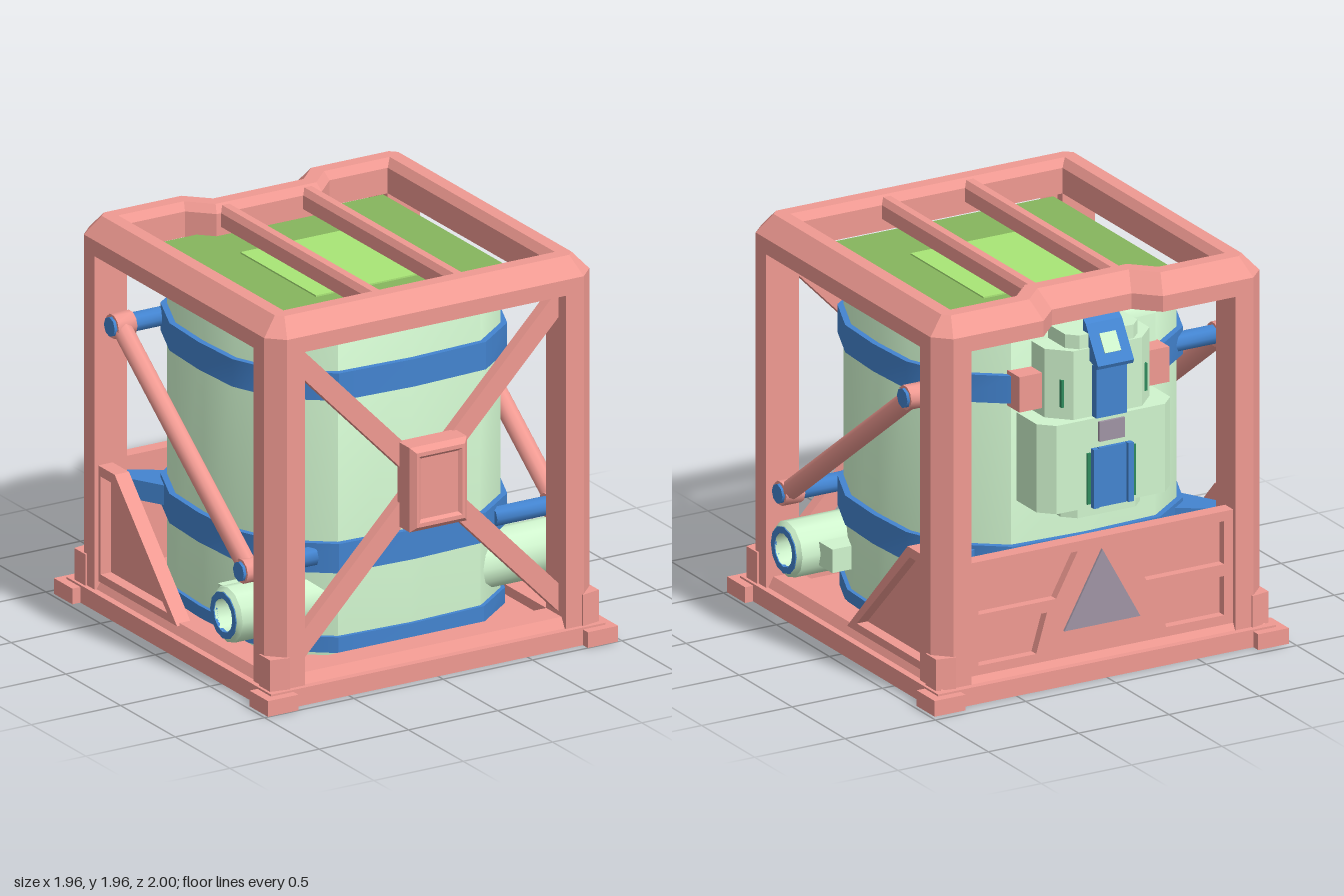
import * as THREE from 'three';
import { toCreasedNormals } from 'three/addons/utils/BufferGeometryUtils.js';

const PINK = 0xf09a92, GREEN = 0xd0f5ce, BLUE = 0x4384d0, PANEL = 0x86b55d, LIME = 0xa9e676, GREY = 0xa094a4, DARK = 0x2f8a5c;
const mats = {};
function material(color, smooth) {
  const key = color + (smooth ? 's' : 'f');
  return mats[key] ??= new THREE.MeshStandardMaterial({ color, flatShading: !smooth, side: THREE.DoubleSide });
}
function add(parent, name, geo, color, pos = [0, 0, 0], smooth = false) {
  const m = new THREE.Mesh(geo, material(color, smooth));
  m.name = name;
  m.position.set(...pos);
  parent.add(m);
  return m;
}
const box = (parent, name, color, size, pos) => add(parent, name, new THREE.BoxGeometry(...size), color, pos);
const shape = (pts) => new THREE.Shape(pts.map((p) => new THREE.Vector2(...p)));
function extrude(pts, depth, holes = [], bevel = 0) {
  const s = shape(pts);
  s.holes = holes.map(shape);
  return new THREE.ExtrudeGeometry(s, { depth, bevelEnabled: bevel > 0, bevelSize: bevel, bevelThickness: bevel, bevelSegments: 1 });
}
// plan outline (x, z) raised from y0 to y1
const slab = (pts, y0, y1) => extrude(pts.map(([x, z]) => [x, -z]), y1 - y0).rotateX(-Math.PI / 2).translate(0, y0, 0);
// outline given as (-z, y), thickened along +x
const sidePlate = (pts, depth, holes) => extrude(pts, depth, holes).rotateY(Math.PI / 2);
// 12-sided turned part lying along +x
const turned = (pts) => toCreasedNormals(
  new THREE.LatheGeometry(pts.map((p) => new THREE.Vector2(...p)), 12).rotateZ(-Math.PI / 2), 0.6);
// any unit-Y geometry stretched between two points
function between(parent, name, geo, color, a, b, smooth) {
  const A = new THREE.Vector3(...a), d = new THREE.Vector3(...b).sub(A);
  const m = add(parent, name, geo.scale(1, d.length(), 1), color, A.clone().addScaledVector(d, 0.5).toArray(), smooth);
  m.quaternion.setFromUnitVectors(new THREE.Vector3(0, 1, 0), d.normalize());
}
const rod = (r, n = 10) => toCreasedNormals(new THREE.CylinderGeometry(r, r, 1, n), 0.8);
// closed mitred ring: profile (inset, y) carried along an (x, z) path
function ring(path, profile) {
  const n = path.length, k = profile.length, pos = [], idx = [];
  const normal = (i) => {
    const [x0, z0] = path[(i + n) % n], [x1, z1] = path[(i + 1) % n], l = Math.hypot(x1 - x0, z1 - z0);
    return [(z1 - z0) / l, -(x1 - x0) / l];
  };
  path.forEach(([x, z], i) => {
    const a = normal(i - 1), b = normal(i), s = 1 / (1 + a[0] * b[0] + a[1] * b[1]);
    for (const [d, y] of profile) pos.push(x + (a[0] + b[0]) * s * d, y, z + (a[1] + b[1]) * s * d);
    for (let j = 0; j < k; j++) {
      const p = i * k + j, q = ((i + 1) % n) * k + j, r = ((i + 1) % n) * k + (j + 1) % k, t = i * k + (j + 1) % k;
      idx.push(p, q, r, p, r, t);
    }
  });
  const g = new THREE.BufferGeometry();
  g.setAttribute('position', new THREE.Float32BufferAttribute(pos, 3));
  g.setIndex(idx);
  g.computeVertexNormals();
  return g;
}
function mirrored(parent, half) {
  const other = half.clone();
  other.scale.x = -1;
  parent.add(half, other);
}
function group(name) {
  const g = new THREE.Group();
  g.name = name;
  return g;
}

function buildFrame(root) {
  const f = group('frame');
  root.add(f);
  // top ring with cut corners, stepped inward at the back
  add(f, 'topRing', ring(
    [[0.83, 0.93], [0.91, 0.85], [0.91, -0.8], [0.83, -0.88], [0.33, -0.88], [0.22, -0.77],
      [-0.22, -0.77], [-0.33, -0.88], [-0.83, -0.88], [-0.91, -0.8], [-0.91, 0.85], [-0.83, 0.93]],
    [[0, 1.79], [0, 1.87], [0.08, 1.96], [0.15, 1.96], [0.18, 1.92], [0.18, 1.79]]), PINK);
  add(f, 'bottomRing', ring([[0.91, 0.93], [0.91, -0.89], [-0.91, -0.89], [-0.91, 0.93]],
    [[0, 0.07], [0.04, 0.14], [0.18, 0.14], [0.18, 0.07]]), PINK);
  box(f, 'basePlate', PINK, [1.87, 0.09, 1.87], [0, 0.045, 0.02]);
  // roof bars
  for (const x of [-0.23, 0.23])
    add(f, 'roofBar', extrude([[-0.04, 1.85], [0.04, 1.85], [0.04, 1.92], [0.02, 1.95], [-0.02, 1.95], [-0.04, 1.92]], 1.46), PINK, [x, 0, -0.68]);
  // crossed front braces and centre plate
  for (const s of [-1, 1])
    between(f, 'frontBrace', new THREE.BoxGeometry(0.1, 1, 0.06), PINK, [-0.77 * s, 0.19, 0.83], [0.77 * s, 1.77, 0.83]);
  const rect = (w, h) => [[-w, -h], [w, -h], [w, h], [-w, h]];
  add(f, 'frontPlateRim', extrude(rect(0.135, 0.19), 0.11, [rect(0.12, 0.17)], 0.025), PINK, [0, 0.98, 0.845]);
  box(f, 'frontPlate', PINK, [0.26, 0.36, 0.14], [0, 0.98, 0.895]);
  // back panel with four recesses and a triangular plate
  box(f, 'backPanel', PINK, [1.5, 0.59, 0.03], [0, 0.405, -0.8]);
  const recesses = [];
  for (const s of [-1, 1]) {
    recesses.push([[0.68 * s, 0.65], [0.13 * s, 0.65], [0.25 * s, 0.43], [0.68 * s, 0.43]]);
    recesses.push([[0.68 * s, 0.37], [0.3 * s, 0.37], [0.36 * s, 0.17], [0.68 * s, 0.17]]);
  }
  add(f, 'backPanelRibs', extrude([[-0.75, 0.11], [0.75, 0.11], [0.75, 0.7], [-0.75, 0.7]], 0.05, recesses), PINK, [0, 0, -0.86]);
  add(f, 'backTriangle', extrude([[-0.21, 0.26], [0.21, 0.26], [0, 0.64]], 0.015), GREY, [0, 0, -0.872]);

  const side = group('frameSide');
  for (const [zo, s, foot] of [[0.93, 1, 1.0], [-0.88, -1, -0.96]]) {
    const at = (d) => zo - s * d;
    // corner post with bevelled outer edge
    add(side, 'post', slab([[0.73, at(0.18)], [0.91, at(0.18)], [0.91, at(0.08)], [0.83, at(0)], [0.73, at(0)]], 0.08, 1.84), PINK);
    // foot and the block above it
    add(side, 'foot', slab([[0.81, foot - s * 0.17], [0.98, foot - s * 0.17], [0.98, foot], [0.81, foot]], 0, 0.08), PINK);
    add(side, 'footBlock', slab([[0.82, at(0.11)], [0.92, at(0.11)], [0.92, at(0.01)], [0.82, at(-0.01)]], 0.06, 0.25), PINK);
  }
  // triangular side panel at the back
  const tri = [[-0.02, 0.13], [0.55, 0.72], [0.72, 0.72], [0.72, 0.13]];
  add(side, 'sidePanelRim', sidePlate(tri, 0.08, [[[0.07, 0.17], [0.57, 0.67], [0.68, 0.67], [0.68, 0.17]]]), PINK, [0.81, 0, 0]);
  add(side, 'sidePanel', sidePlate(tri, 0.02), PINK, [0.81, 0, 0]);
  // diagonal strut with pinned ends
  const ends = [[0.61, 0.63], [1.48, -0.55]];
  between(side, 'strut', rod(0.05), PINK, [0.86, ...ends[0]], [0.86, ...ends[1]], true);
  for (const [y, z] of ends) {
    between(side, 'strutCollar', rod(0.062), PINK, [0.8, y, z], [0.905, y, z], true);
    between(side, 'strutPin', rod(0.05, 8), BLUE, [0.5, y, z], [0.92, y, z], true);
  }
  mirrored(f, side);
}

// rounded-square outline from one quarter of points
function fourfold(q) {
  const out = q.slice(0, -1), back = q.slice(1).reverse();
  return [
    ...out.map(([x, z]) => [x, -z]), ...back.map(([x, z]) => [-x, -z]),
    ...out.map(([x, z]) => [-x, z]), ...back.map(([x, z]) => [x, z])];
}

function buildTank(root) {
  const t = group('tank');
  root.add(t);
  const outline = fourfold([[0.73, 0], [0.715, 0.28], [0.61, 0.53], [0.4, 0.69], [0, 0.71]]);
  const body = ring(outline, [[0, 0.1], [0, 1.71], [0.02, 1.75], [0.07, 1.785], [0.12, 1.795], [0.3, 1.795], [0.3, 0.1]]);
  add(t, 'tankBody', toCreasedNormals(body, 0.6), GREEN, [0, 0, 0], true);
  for (const [y0, y1, out] of [[0.12, 0.2, 0.02], [0.53, 0.68, 0.03], [1.41, 1.55, 0.03]]) {
    const band = ring(outline, [[-out, y0], [-out, y1], [0.02, y1], [0.02, y0]]);
    add(t, 'band', toCreasedNormals(band, 0.6), BLUE, [0, 0, 0], true);
  }
  // cover sheets over the tank
  box(t, 'cover', PANEL, [1.33, 0.008, 1.36], [0.015, 1.803, 0.02]);
  box(t, 'coverPatch', LIME, [0.66, 0.008, 0.69], [0.01, 1.811, 0.015]);

  const side = group('tankSide');
  // bracket from the lower band to the back post
  add(side, 'bandBracket', slab([[0.67, -0.42], [0.84, -0.73], [0.78, -0.76], [0.54, -0.6]], 0.56, 0.66), BLUE);
  // outlet pipe
  add(side, 'pipe', turned([[0, -0.54], [0.14, -0.54], [0.14, 0.08], [0.12, 0.1], [0.085, 0.1], [0.085, -0.1], [0, -0.1]]),
    GREEN, [0.84, 0.36, 0.53], true);
  add(side, 'pipeLip', turned([[0.085, 0], [0.118, 0], [0.118, 0.02], [0.085, 0.02], [0.085, 0]]), BLUE, [0.925, 0.36, 0.53], true);
  box(side, 'pipeBracket', GREEN, [0.24, 0.12, 0.14], [0.7, 0.36, 0.35]);
  mirrored(t, side);
}

function buildControls(root) {
  const c = group('controlUnit');
  root.add(c);
  const plan = (w, ch, z0, z1) => [[-w, z0], [w, z0], [w, z1 + ch], [w - ch, z1], [ch - w, z1], [-w, z1 + ch]];
  // stacked housing
  add(c, 'lowerHousing', slab(plan(0.37, 0.07, -0.68, -0.95), 0.9, 1.35), GREEN);
  add(c, 'lowerCap', slab(plan(0.22, 0.06, -0.68, -0.91), 0.84, 0.9), GREEN);
  add(c, 'upperHousing', slab(plan(0.29, 0.1, -0.68, -0.92), 1.35, 1.7), GREEN);
  add(c, 'upperCap', slab(plan(0.2, 0.05, -0.7, -0.91), 1.7, 1.77), GREEN);
  // hooded display
  const hood = [[0.86, 1.83], [0.885, 1.81], [1.0, 1.63], [0.99, 1.61], [0.86, 1.66]];
  add(c, 'hood', sidePlate(hood, 0.2), BLUE, [-0.1, 0, 0]);
  box(c, 'display', GREEN, [0.09, 0.1, 0.008], [0, 1.72, -0.943]).rotation.x = 0.568;
  box(c, 'upperFace', BLUE, [0.17, 0.26, 0.1], [0, 1.48, -0.91]);
  box(c, 'label', GREY, [0.14, 0.1, 0.05], [0, 1.28, -0.94]);
  box(c, 'lowerFace', BLUE, [0.15, 0.3, 0.06], [0, 1.05, -0.94]);

  const side = group('controlSide');
  box(side, 'lowerRail', BLUE, [0.03, 0.3, 0.08], [0.095, 1.05, -0.94]);
  box(side, 'strip', DARK, [0.02, 0.26, 0.05], [0.125, 1.05, -0.935]);
  box(side, 'upperStrip', DARK, [0.015, 0.14, 0.06], [0.23, 1.48, -0.86]);
  box(side, 'clamp', PINK, [0.15, 0.18, 0.15], [0.34, 1.48, -0.72]);
  mirrored(c, side);
}

export function createModel() {
  const root = group('framedTank');
  buildFrame(root);
  buildTank(root);
  buildControls(root);
  return root;
}
